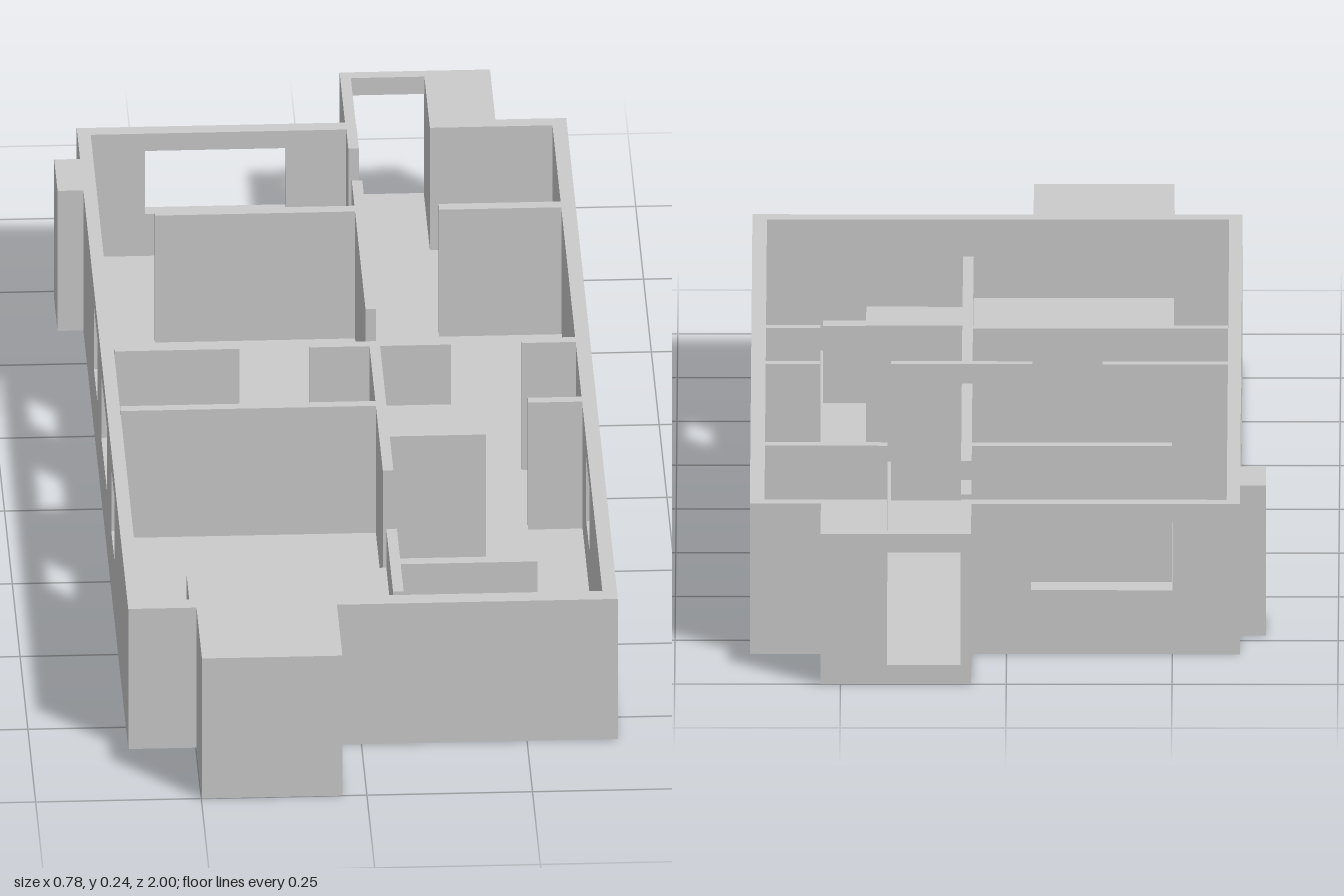
import * as THREE from 'three';

const WALL = 0.235;   // outer wall height
const INNER = 0.243;  // partition height
const FLOOR = 0.03;   // floor slab thickness

export function createModel() {
  const model = new THREE.Group();
  model.name = 'floorPlanModel';
  const material = new THREE.MeshStandardMaterial({ color: 0xcccccc, flatShading: true });

  const add = (name, geometry) => {
    const mesh = new THREE.Mesh(geometry, material);
    mesh.name = name;
    model.add(mesh);
    return mesh;
  };

  // Box given by its plan limits and its bottom and top
  const block = (name, x0, x1, z0, z1, top, bottom = 0) => {
    const mesh = add(name, new THREE.BoxGeometry(x1 - x0, top - bottom, z1 - z0));
    mesh.position.set((x0 + x1) / 2, (bottom + top) / 2, (z0 + z1) / 2);
    return mesh;
  };

  // Wall elevation from a to b with rectangular windows [a, b, y0, y1]
  const wallGeometry = (a, b, thickness, windows) => {
    const rect = (path, u0, u1, v0, v1) =>
      path.moveTo(u0, v0).lineTo(u1, v0).lineTo(u1, v1).lineTo(u0, v1).closePath();
    const shape = rect(new THREE.Shape(), a, b, 0, WALL);
    for (const w of windows) shape.holes.push(rect(new THREE.Path(), ...w));
    return new THREE.ExtrudeGeometry(shape, { depth: thickness, bevelEnabled: false });
  };

  // Side wall: drawn along -z, then turned to run along z
  const sideWall = (name, x0, x1, windows) => {
    const flipped = windows.map(([z0, z1, y0, y1]) => [-z1, -z0, y0, y1]);
    const geometry = wallGeometry(-0.796, 0.804, x1 - x0, flipped);
    geometry.rotateY(Math.PI / 2).translate(x0, 0, 0);
    add(name, geometry);
  };

  // Floor
  block('floor', -0.332, 0.365, -0.804, 0.796, FLOOR);
  block('nicheFloor', 0.069, 0.18, -0.98, -0.804, FLOOR);

  // Outer walls with window openings
  const sill = 0.1, head = 0.206;
  sideWall('rightWall', -0.352, -0.332, [
    [-0.277, -0.167, sill, head], [-0.04, 0.145, sill, head], [0.28, 0.39, sill, head],
  ]);
  sideWall('leftWall', 0.365, 0.387, [[0.28, 0.39, sill, head]]);
  block('frontWall', -0.352, 0.387, 0.796, 0.825, WALL);
  add('backWall', wallGeometry(-0.352, 0.053, 0.024, [[-0.25, -0.037, sill, head]]))
    .position.z = -0.828;
  block('backWallEnd', 0.28, 0.387, -0.828, -0.804, WALL);

  // Projections outside the main rectangle
  block('frontProjection', -0.249, -0.037, 0.825, 1, WALL);
  block('sideProjection', -0.391, -0.352, -0.722, -0.614, WALL);
  block('backProjection', 0.18, 0.28, -1, -0.804, WALL);
  block('nicheSideWall', 0.053, 0.069, -1, -0.804, WALL);
  block('nicheLintel', 0.069, 0.18, -1, -0.98, WALL, head);
  block('nicheThreshold', 0.069, 0.18, -1, -0.98, FLOOR);

  // Partitions along the spine: [z0, z1]
  for (const [z0, z1] of [[-0.804, -0.722], [-0.612, -0.17], [-0.06, 0.384]]) {
    block('spinePartition', 0.053, 0.069, z0, z1, INNER, FLOOR);
  }

  // Cross partitions: [x0, x1, z0, z1]
  for (const p of [
    [-0.249, 0.053, -0.526, -0.506], [0.18, 0.365, -0.526, -0.506],
    [-0.332, -0.143, -0.06, -0.043], [-0.037, 0.053, -0.06, -0.043],
    [0.069, 0.176, -0.06, -0.043], [0.283, 0.365, -0.06, -0.043],
    [-0.332, 0.053, 0.145, 0.162], [0.283, 0.365, 0.145, 0.162],
  ]) block('crossPartition', ...p, INNER, FLOOR);

  // Tall cupboard beside the spine
  block('cupboard', 0.069, 0.214, 0.162, 0.268, INNER, FLOOR);

  // Built-in furniture in the front room
  block('counter', -0.249, 0.053, 0.497, 0.712, 0.135, FLOOR);
  block('dividerPanel', 0.053, 0.069, 0.497, 0.712, 0.2, FLOOR);
  block('benchBack', 0.069, 0.28, 0.497, 0.517, 0.15, FLOOR);
  block('benchBase', 0.069, 0.28, 0.517, 0.712, 0.065, FLOOR);
  block('benchBox', 0.18, 0.28, 0.602, 0.712, 0.1, 0.065);

  return model;
}
